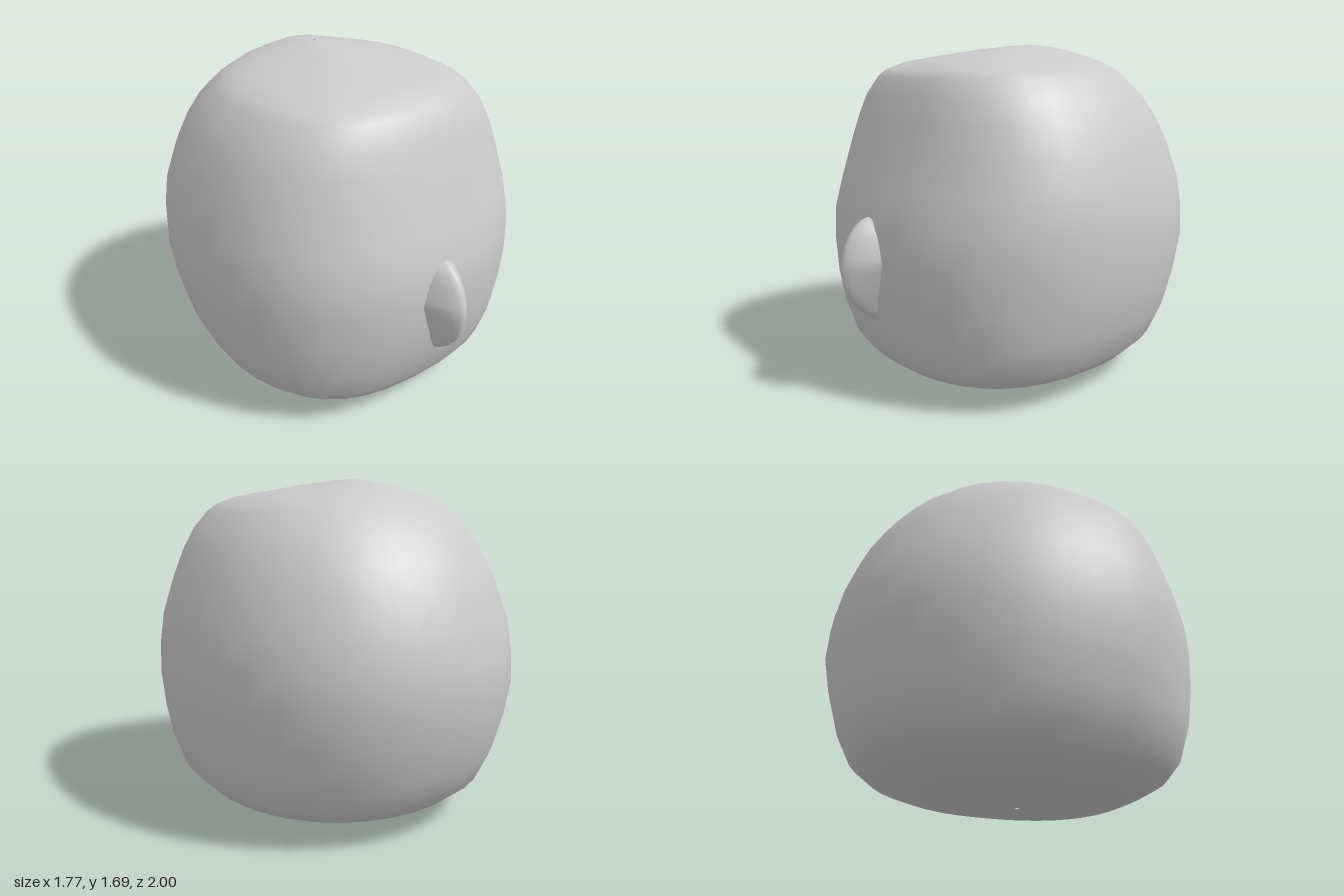
import * as THREE from 'three';

// Skin a list of cross-sections (bottom to top, each a loop or strip of [x, y, z])
function loft(sections, closed, material, name) {
  const n = sections[0].length, pos = [], index = [];
  for (const s of sections) for (const p of s) pos.push(...p);
  for (let i = 0; i < sections.length - 1; i++) {
    for (let j = 0; j < (closed ? n : n - 1); j++) {
      const k = (j + 1) % n;
      const a = i * n + j, b = i * n + k, c = a + n, d = b + n;
      index.push(a, b, d, a, d, c);
    }
  }
  const geo = new THREE.BufferGeometry();
  geo.setAttribute('position', new THREE.Float32BufferAttribute(pos, 3));
  geo.setIndex(index);
  geo.computeVertexNormals();
  const mesh = new THREE.Mesh(geo, material);
  mesh.name = name;
  return mesh;
}

export function createModel() {
  const group = new THREE.Group();
  group.name = 'roundHead';
  const grey = new THREE.MeshStandardMaterial({ color: 0xcccccc, side: THREE.DoubleSide });

  // Head rings: height, half width, front z, back z, z of widest point, front squareness
  const rings = [
    [0.005, 0.01, 0.01, -0.01, 0, 2],
    [0.02, 0.25, 0.28, -0.24, 0, 2.2],
    [0.05, 0.45, 0.54, -0.48, 0, 2.4],
    [0.075, 0.57, 0.62, -0.61, 0, 2.5],
    [0.12, 0.68, 0.70, -0.74, 0, 2.6],
    [0.20, 0.76, 0.755, -0.84, 0, 2.6],
    [0.35, 0.82, 0.81, -0.915, 0, 2.45],
    [0.52, 0.86, 0.85, -0.965, 0, 2.3],
    [0.70, 0.883, 0.862, -1.0, 0, 2.25],
    [0.86, 0.88, 0.855, -0.99, 0, 2.25],
    [1.02, 0.86, 0.80, -0.955, 0, 2.3],
    [1.20, 0.80, 0.74, -0.89, 0, 2.4],
    [1.33, 0.745, 0.695, -0.815, 0, 2.5],
    [1.44, 0.68, 0.655, -0.73, 0, 2.6],
    [1.53, 0.60, 0.61, -0.63, 0, 2.6],
    [1.565, 0.555, 0.575, -0.58, 0, 2.6],
    [1.605, 0.47, 0.48, -0.53, -0.02, 2.5],
    [1.635, 0.32, 0.32, -0.48, -0.07, 2.3],
    [1.665, 0.18, 0.13, -0.41, -0.13, 2.1],
    [1.685, 0.07, -0.07, -0.29, -0.18, 2],
    [1.69, 0.005, -0.195, -0.205, -0.2, 2],
  ];
  const SEG = 36;
  const pow = (v, e) => Math.sign(v) * Math.abs(v) ** e;
  group.add(loft(rings.map(([y, w, zf, zb, zc, sq]) =>
    Array.from({ length: SEG }, (_, j) => {
      const a = (j / SEG) * Math.PI * 2, s = Math.sin(a), c = Math.cos(a);
      const e = 2 / (c > 0 ? sq : 2.12);
      return [w * pow(s, e), y, zc + (c > 0 ? zf - zc : zc - zb) * pow(c, e)];
    })), true, grey, 'head'));

  // Beak: height, half width, ridge z; parabolic across, sides sunk into the head
  const beak = [
    [0.39, 0.002, 0.82], [0.41, 0.018, 0.855], [0.45, 0.037, 0.905],
    [0.50, 0.058, 0.95], [0.55, 0.078, 0.98], [0.60, 0.098, 0.994],
    [0.65, 0.115, 1.0], [0.69, 0.129, 0.998], [0.72, 0.122, 0.993],
    [0.77, 0.108, 0.978], [0.82, 0.09, 0.952], [0.86, 0.066, 0.92],
    [0.885, 0.04, 0.885], [0.897, 0.004, 0.85],
  ];
  group.add(loft(beak.map(([y, w, z]) =>
    Array.from({ length: 13 }, (_, j) => {
      const s = j / 6 - 1;
      return [w * s, y, z - (z - Math.min(0.835, z - 0.01)) * Math.abs(s) ** 1.6];
    })), false, grey, 'beak'));

  return group;
}
